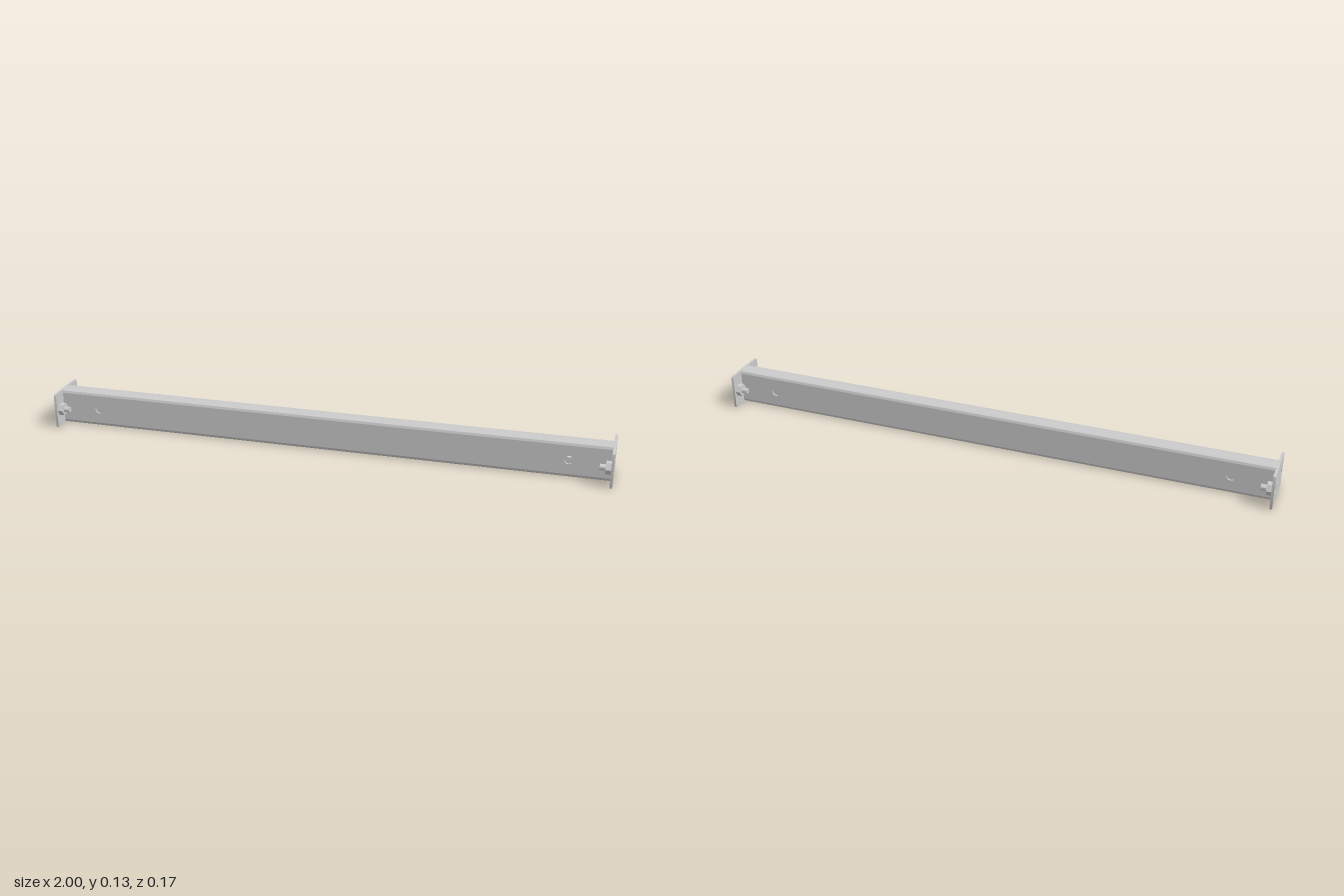
import * as THREE from 'three';
import { toCreasedNormals } from 'three/addons/utils/BufferGeometryUtils.js';

const H = 0.128;          // overall height
const MID = H / 2;
const HALF_W = 0.03;      // half depth of the tube
const WALL = 0.006;
const R = 0.012;          // tube corner radius
const PLATE = 0.009;      // end plate thickness
const HALF_L = 1 - PLATE; // half length of the tube

const material = new THREE.MeshStandardMaterial({ color: 0xcccccc });

function addMesh(parent, name, geometry) {
  const mesh = new THREE.Mesh(toCreasedNormals(geometry, 0.6), material);
  mesh.name = name;
  parent.add(mesh);
  return mesh;
}

function extrude(shape, depth) {
  return new THREE.ExtrudeGeometry(shape, { depth, bevelEnabled: false, curveSegments: 12 })
    .translate(0, 0, -depth / 2);
}

function circleHole(x, y, r) {
  return new THREE.Path().absarc(x, y, r, 0, Math.PI * 2, true);
}

function roundedRect(w, h, r) {
  const s = new THREE.Shape();
  s.absarc(w - r, h - r, r, 0, Math.PI / 2);
  s.absarc(-w + r, h - r, r, Math.PI / 2, Math.PI);
  s.absarc(-w + r, -h + r, r, Math.PI, Math.PI * 1.5);
  s.absarc(w - r, -h + r, r, Math.PI * 1.5, Math.PI * 2);
  s.closePath();
  return s;
}

// Hollow tube: two drilled side walls joined by rounded top and bottom caps
function createBeam() {
  const beam = new THREE.Group();
  beam.name = 'beam';
  const flat = MID - R;

  const side = new THREE.Shape();
  side.moveTo(-HALF_L, -flat);
  side.lineTo(HALF_L, -flat);
  side.lineTo(HALF_L, flat);
  side.lineTo(-HALF_L, flat);
  side.closePath();
  for (const x of [-0.85, 0.85]) side.holes.push(circleHole(x, 0, 0.015));

  const cap = new THREE.Shape();
  const cx = HALF_W - R;
  cap.moveTo(HALF_W, flat);
  cap.absarc(cx, flat, R, 0, Math.PI / 2);
  cap.absarc(-cx, flat, R, Math.PI / 2, Math.PI);
  cap.absarc(-cx, flat, R - WALL, Math.PI, Math.PI / 2, true);
  cap.absarc(cx, flat, R - WALL, Math.PI / 2, 0, true);
  cap.closePath();

  for (const s of [1, -1]) {
    addMesh(beam, s > 0 ? 'frontWall' : 'backWall', extrude(side, WALL))
      .position.z = s * (HALF_W - WALL / 2);
    const capGeo = extrude(cap, HALF_L * 2).rotateY(Math.PI / 2);
    if (s < 0) capGeo.rotateX(Math.PI);
    addMesh(beam, s > 0 ? 'topCap' : 'bottomCap', capGeo);
  }
  beam.position.y = MID;
  return beam;
}

// End plate with two bolts pointing inwards, built for the +x end
function createEnd(name) {
  const end = new THREE.Group();
  end.name = name;

  const plate = roundedRect(0.085, MID, 0.006);
  for (const z of [-0.058, 0.058]) plate.holes.push(circleHole(z, 0, 0.0135));
  addMesh(end, 'endPlate', extrude(plate, PLATE).rotateY(Math.PI / 2))
    .position.x = 1 - PLATE / 2;

  for (const z of [-0.058, 0.058]) {
    const bolt = new THREE.Group();
    bolt.name = 'bolt';
    bolt.position.z = z;
    const nut = addMesh(bolt, 'nut',
      new THREE.CylinderGeometry(0.023, 0.023, 0.018, 6).rotateZ(Math.PI / 2));
    nut.position.x = HALF_L - 0.009;
    const shank = addMesh(bolt, 'shank',
      new THREE.CylinderGeometry(0.0105, 0.0105, 0.045, 24).rotateZ(Math.PI / 2));
    shank.position.x = 0.998 - 0.0225;
    end.add(bolt);
  }
  end.position.y = MID;
  return end;
}

export function createModel() {
  const group = new THREE.Group();
  group.name = 'crossBeam';
  group.add(createBeam());
  const left = createEnd('leftEnd');
  const right = createEnd('rightEnd');
  right.rotation.y = Math.PI;
  group.add(left, right);
  return group;
}
